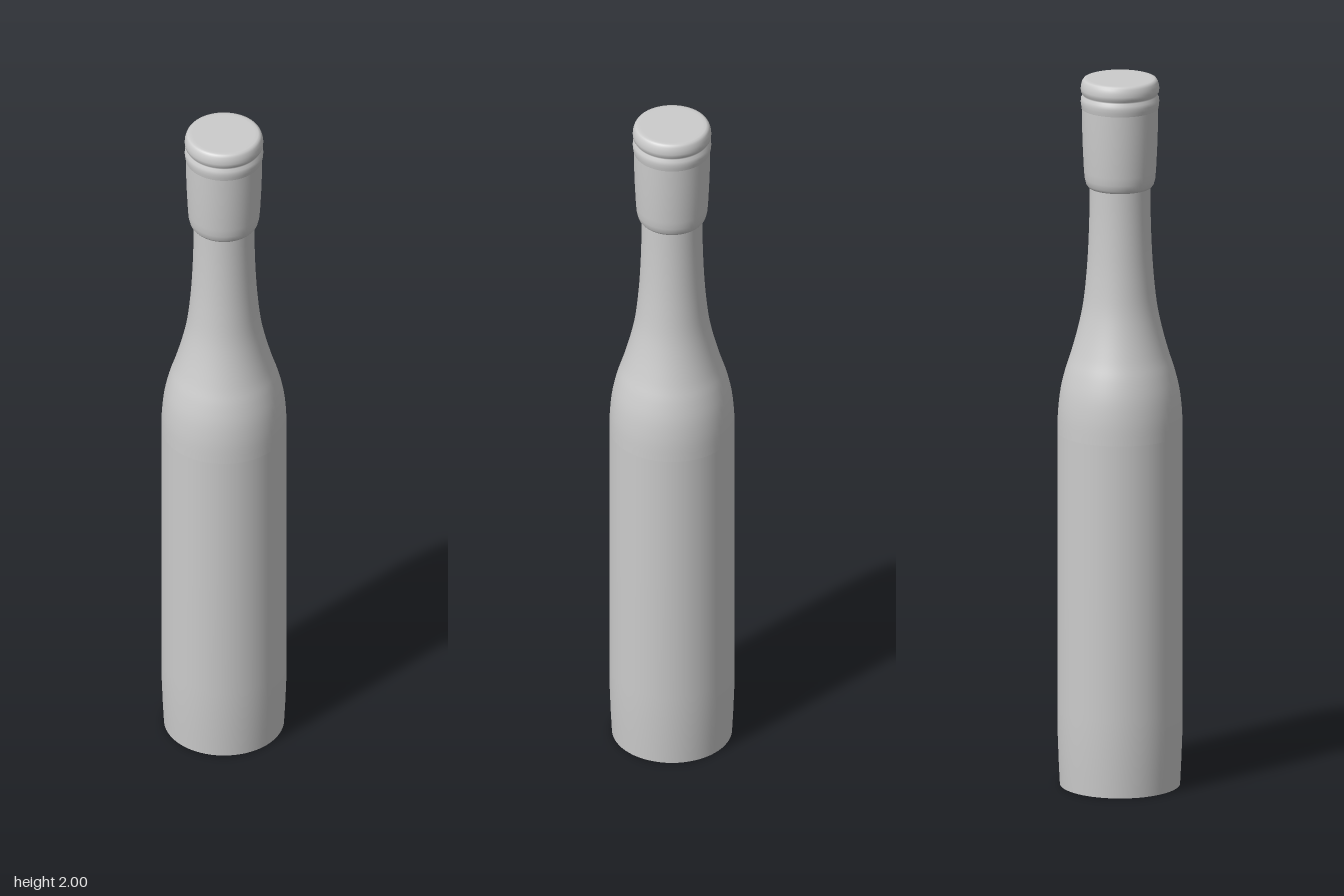
import * as THREE from 'three';

const material = new THREE.MeshStandardMaterial({ color: 0xcccccc });

// Revolve [radius, height] points about the y axis
function turned(name, points) {
  const profile = points.map(([r, y]) => new THREE.Vector2(r, y));
  const mesh = new THREE.Mesh(new THREE.LatheGeometry(profile, 64), material);
  mesh.name = name;
  return mesh;
}

// Smooth a run of [radius, height] points
function smoothRun(points, divisions) {
  const curve = new THREE.SplineCurve(points.map(([r, y]) => new THREE.Vector2(r, y)));
  return curve.getPoints(divisions).map((p) => [p.x, p.y]);
}

export function createModel() {
  const group = new THREE.Group();
  group.name = 'bottle';

  // Flat underside
  group.add(turned('base', [[0, 0], [0.165, 0]]));

  // Straight body with a slight taper at the foot
  group.add(turned('body', [[0.165, 0], [0.168, 0.06], [0.171, 0.14], [0.172, 0.22], [0.172, 0.6], [0.172, 1.0]]));

  // Rounded shoulder sweeping into the neck
  group.add(turned('shoulderAndNeck', smoothRun([
    [0.172, 1.0], [0.17, 1.06], [0.163, 1.12], [0.15, 1.175], [0.134, 1.225],
    [0.115, 1.295], [0.101, 1.365], [0.092, 1.45], [0.087, 1.53], [0.084, 1.62], [0.083, 1.71],
  ], 40)));

  // Sleeve over the neck, with a rounded lower lip
  group.add(turned('capSleeve', [
    [0.08, 1.692], [0.087, 1.694], [0.093, 1.702], [0.097, 1.718], [0.099, 1.74],
    [0.102, 1.8], [0.104, 1.86], [0.105, 1.916],
  ]));

  // Beaded ring between two grooves, then the rounded top
  group.add(turned('capTop', [
    [0.105, 1.916], [0.107, 1.926], [0.108, 1.936], [0.107, 1.946], [0.102, 1.953],
    [0.102, 1.957], [0.107, 1.963], [0.108, 1.972], [0.107, 1.982], [0.104, 1.992],
    [0.1, 1.998], [0.094, 2.0], [0.085, 2.0], [0, 2.0],
  ]));

  return group;
}
